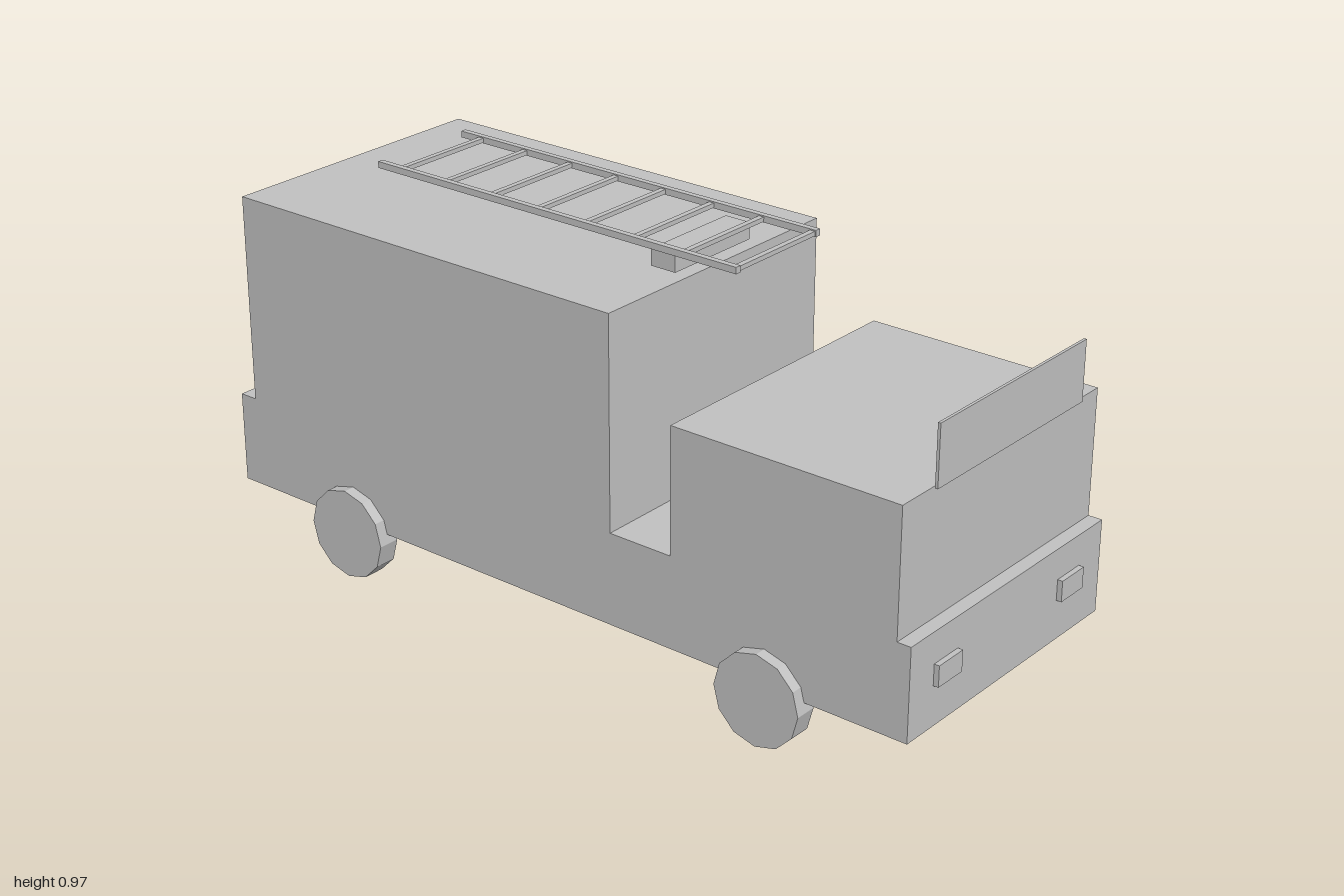
import * as THREE from 'three';

export function createModel() {
  const model = new THREE.Group();
  model.name = 'fireTruck';
  const grey = new THREE.MeshStandardMaterial({ color: 0xc0c0c0, flatShading: true });
  grey.name = 'plainGrey';

  const add = (name, geometry, x = 0, y = 0, z = 0, parent = model) => {
    const mesh = new THREE.Mesh(geometry, grey);
    mesh.name = name;
    mesh.position.set(x, y, z);
    parent.add(mesh);
    return mesh;
  };
  // Box given by its limits on each axis
  const box = (name, [x0, x1], [y0, y1], [z0, z1], parent) =>
    add(name, new THREE.BoxGeometry(x1 - x0, y1 - y0, z1 - z0),
      (x0 + x1) / 2, (y0 + y1) / 2, (z0 + z1) / 2, parent);

  // Body: side profile (z, y) with chassis, cab and rear compartment
  const profile = [
    [-0.998, 0.136], [0.987, 0.136], [0.987, 0.366], [0.952, 0.366],
    [0.952, 0.678], [0.354, 0.678], [0.354, 0.366], [0.184, 0.366],
    [0.184, 0.89], [-0.95, 0.89], [-0.95, 0.366], [-0.998, 0.366],
  ];
  const shape = new THREE.Shape(profile.map(([z, y]) => new THREE.Vector2(-z, y)));
  const bodyGeometry = new THREE.ExtrudeGeometry(shape, { depth: 0.746, bevelEnabled: false });
  bodyGeometry.translate(0, 0, -0.373).rotateY(Math.PI / 2);
  add('body', bodyGeometry);

  // Windscreen plate standing in front of the cab roof
  box('windscreen', [-0.277, 0.277], [0.683, 0.83], [0.964, 0.971]);

  // Light bar above the compartment
  box('lightBar', [-0.133, 0.133], [0.906, 0.947], [0.104, 0.172]);

  // Wheels and headlights, mirrored
  const wheelGeometry = new THREE.CylinderGeometry(0.114, 0.114, 0.056, 12).rotateZ(Math.PI / 2);
  for (const [side, s] of [['left', 1], ['right', -1]]) {
    add(side + 'FrontWheel', wheelGeometry, s * 0.374, 0.114, 0.614);
    add(side + 'RearWheel', wheelGeometry, s * 0.374, 0.114, -0.622);
    add(side + 'Headlight', new THREE.BoxGeometry(0.088, 0.052, 0.02), s * 0.24, 0.262, 0.99);
  }

  // Roof ladder: two rails and eight rungs
  const ladder = new THREE.Group();
  ladder.name = 'ladder';
  model.add(ladder);
  box('leftRail', [0.136, 0.151], [0.954, 0.97], [-0.715, 0.354], ladder);
  box('rightRail', [-0.151, -0.136], [0.954, 0.97], [-0.715, 0.354], ladder);
  for (let i = 0; i < 8; i++) {
    const z = -0.65 + i * 0.142;
    box('rung', [-0.14, 0.14], [0.956, 0.967], [z - 0.007, z + 0.007], ladder);
  }
  return model;
}
